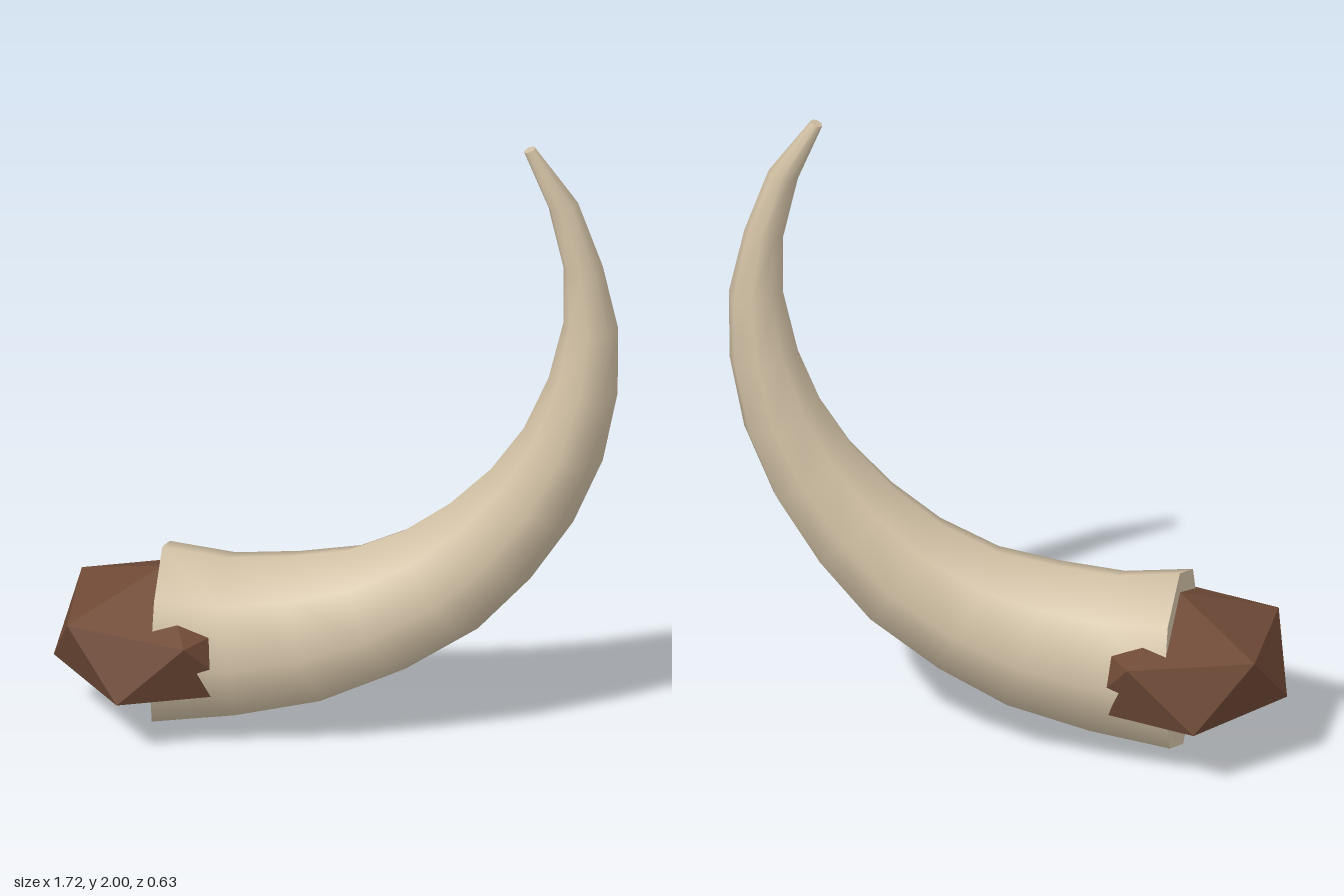
import * as THREE from 'three';
import { ConvexGeometry } from 'three/addons/geometries/ConvexGeometry.js';

// Matching points on the outer and inner curve of the horn: [outerX, outerY, innerX, innerY]
const RINGS = [
  [-0.54, 0.0, -0.53, 0.575], [-0.28, 0.035, -0.335, 0.55], [-0.01, 0.10, -0.15, 0.565],
  [0.21, 0.205, 0.03, 0.595], [0.43, 0.355, 0.20, 0.67], [0.59, 0.535, 0.345, 0.775],
  [0.72, 0.735, 0.47, 0.90], [0.81, 0.95, 0.57, 1.045], [0.855, 1.18, 0.645, 1.22],
  [0.857, 1.40, 0.69, 1.41], [0.81, 1.61, 0.69, 1.60], [0.735, 1.82, 0.645, 1.80],
  [0.605, 2.0, 0.57, 1.985],
];
const SIDES = 8;

// Octagonal cross-section between an outer and an inner point
function ringPoints([ox, oy, ix, iy]) {
  const center = new THREE.Vector3((ox + ix) / 2, (oy + iy) / 2, 0);
  const arm = new THREE.Vector3((ox - ix) / 2, (oy - iy) / 2, 0);
  const radius = arm.length();
  return Array.from({ length: SIDES }, (_, j) => {
    const a = (j / SIDES) * Math.PI * 2;
    const p = center.clone().addScaledVector(arm, Math.cos(a));
    p.z = radius * Math.sin(a);
    return p;
  });
}

// Smooth skin lofted through the rings
function loft(rings) {
  const index = [];
  for (let i = 0; i < rings.length - 1; i++) {
    for (let j = 0; j < SIDES; j++) {
      const k = (j + 1) % SIDES;
      const a = i * SIDES + j, b = i * SIDES + k;
      const c = a + SIDES, d = b + SIDES;
      index.push(a, c, b, b, c, d);
    }
  }
  const geometry = new THREE.BufferGeometry().setFromPoints(rings.flat());
  geometry.setIndex(index);
  geometry.computeVertexNormals();
  return geometry;
}

// Flat end closing a ring
function cap(ring, flip) {
  const index = [];
  for (let j = 1; j < SIDES - 1; j++) index.push(0, flip ? j + 1 : j, flip ? j : j + 1);
  const geometry = new THREE.BufferGeometry().setFromPoints(ring);
  geometry.setIndex(index);
  geometry.computeVertexNormals();
  return geometry;
}

// Flattened icosahedron standing on one of its points
function rootGeometry() {
  const ringRadius = 0.33, ringHeight = 0.1, pole = 0.222;
  const points = [new THREE.Vector3(0, pole, 0), new THREE.Vector3(0, -pole, 0)];
  for (let i = 0; i < 5; i++) {
    const a = (i / 5) * Math.PI * 2;
    const x = ringRadius * Math.cos(a), z = ringRadius * Math.sin(a);
    points.push(new THREE.Vector3(x, ringHeight, z), new THREE.Vector3(-x, -ringHeight, z));
  }
  return new ConvexGeometry(points);
}

export function createModel() {
  const ivory = new THREE.MeshStandardMaterial({ color: 0xd2c1a5 });
  ivory.name = 'ivory';
  const brown = new THREE.MeshStandardMaterial({ color: 0x6f4a36 });
  brown.name = 'brown';

  const model = new THREE.Group();
  model.name = 'horn';
  const add = (name, geometry, material) => {
    const mesh = new THREE.Mesh(geometry, material);
    mesh.name = name;
    model.add(mesh);
    return mesh;
  };

  const rings = RINGS.map(ringPoints);
  add('hornShaft', loft(rings), ivory);
  add('hornBase', cap(rings[0], false), ivory);
  add('hornTip', cap(rings[rings.length - 1], true), ivory);
  add('hornRoot', rootGeometry(), brown).position.set(-0.53, 0.29, 0);

  return model;
}
